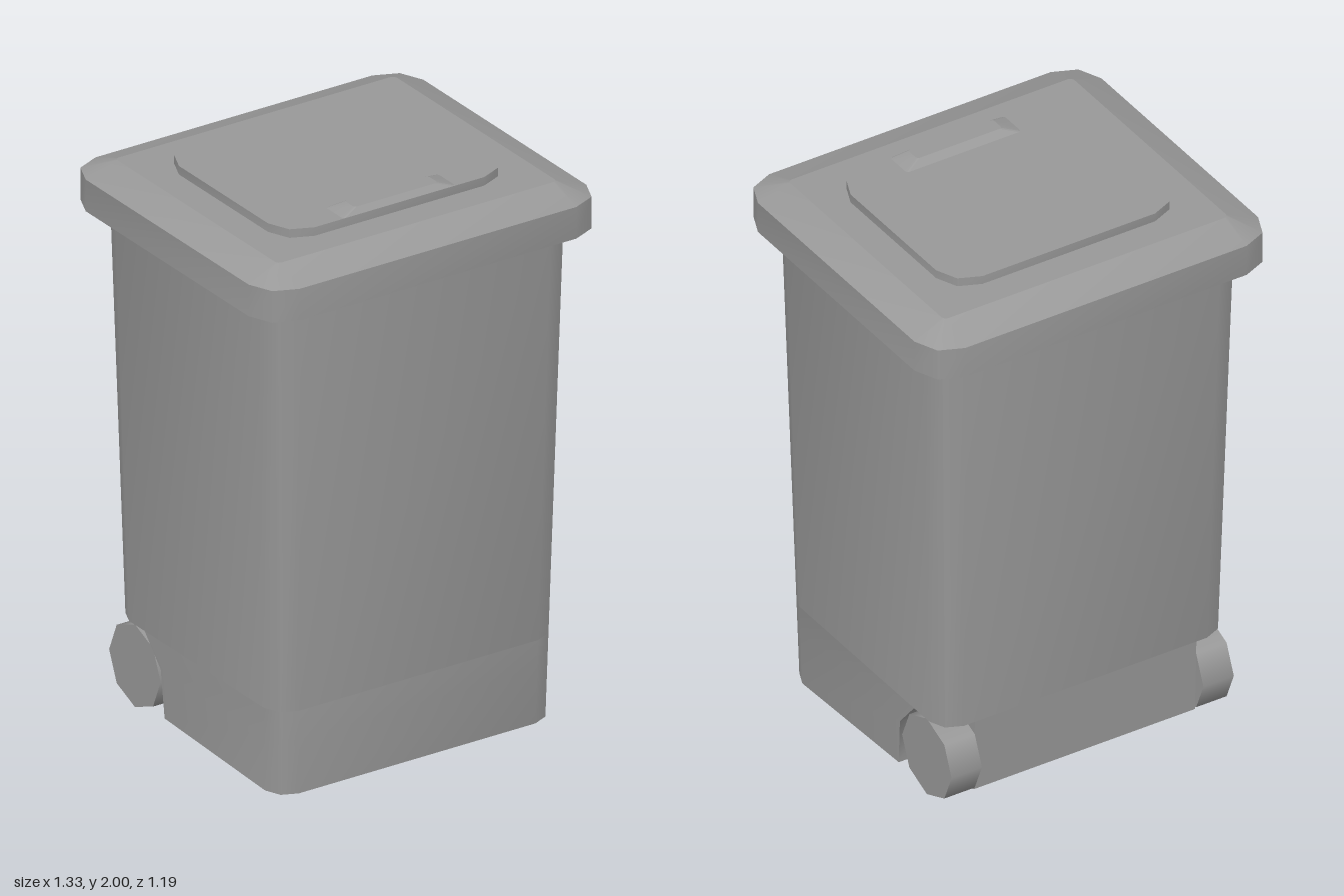
import * as THREE from 'three';
import { toCreasedNormals } from 'three/addons/utils/BufferGeometryUtils.js';

const grey = new THREE.MeshStandardMaterial({ color: 0x999999 });
grey.name = 'grey plastic';

// Rectangle with two-segment corners, as [x, z] points running from +x towards +z
function outline(hx, zBack, zFront, r) {
  const k = 0.3 * r;
  return [
    [hx, zFront - r], [hx - k, zFront - k], [hx - r, zFront],
    [-hx + r, zFront], [-hx + k, zFront - k], [-hx, zFront - r],
    [-hx, zBack + r], [-hx + k, zBack + k], [-hx + r, zBack],
    [hx - r, zBack], [hx - k, zBack + k], [hx, zBack + r],
  ];
}

// Place an outline at a height, which may depend on z
const ring = (points, y) =>
  points.map(([x, z]) => new THREE.Vector3(x, typeof y === 'function' ? y(z) : y, z));

// Closed solid through rings listed from bottom to top
function loft(rings, crease) {
  const pos = [];
  const tri = (...vs) => vs.forEach((v) => pos.push(v.x, v.y, v.z));
  for (let j = 0; j < rings.length - 1; j++) {
    const lo = rings[j], hi = rings[j + 1];
    lo.forEach((a, i) => {
      const n = (i + 1) % lo.length;
      tri(a, hi[i], lo[n]);
      tri(hi[i], hi[n], lo[n]);
    });
  }
  const cap = (pts, up) => {
    const flat = pts.map((p) => new THREE.Vector2(p.x, p.z));
    for (const [i, j, k] of THREE.ShapeUtils.triangulateShape(flat, [])) {
      const [a, b, c] = [pts[i], pts[j], pts[k]];
      const ny = (b.z - a.z) * (c.x - a.x) - (b.x - a.x) * (c.z - a.z);
      if (ny > 0 === up) tri(a, b, c);
      else tri(a, c, b);
    }
  };
  cap(rings[0], false);
  cap(rings[rings.length - 1], true);
  const geo = new THREE.BufferGeometry();
  geo.setAttribute('position', new THREE.Float32BufferAttribute(pos, 3));
  return toCreasedNormals(geo, crease);
}

export function createModel() {
  const model = new THREE.Group();
  model.name = 'wheeledBin';
  const add = (name, geo) => {
    const mesh = new THREE.Mesh(geo, grey);
    mesh.name = name;
    model.add(mesh);
    return mesh;
  };

  // Tapered body outline at a given height
  const bodyAt = (y) => {
    const t = y / 1.79;
    return outline(0.547 + 0.047 * t, -0.465 - 0.052 * t, 0.47 + 0.05 * t, 0.08 + 0.02 * t);
  };
  const wellTop = 0.305, wellX = 0.43;
  add('body', loft([ring(bodyAt(wellTop), wellTop), ring(bodyAt(1.8), 1.8)], 0.75));

  // Lower body, with both back corners cut away for the wheels
  const notched = (y, zWell) => {
    const full = bodyAt(y), hx = full[0][0], zBack = full[8][1];
    return [
      ...full.slice(0, 6),
      [-hx, zWell], [-wellX, zWell], [-wellX, zBack],
      [wellX, zBack], [wellX, zWell], [hx, zWell],
    ];
  };
  const underside = (z) => THREE.MathUtils.clamp((0.4 - z) * 0.045, 0, 0.032);
  add('lowerBody', loft([
    ring(notched(0, -0.195), underside),
    ring(notched(0.2, -0.21), 0.2),
    ring(notched(wellTop, -0.3), wellTop),
  ], 0.75));

  // Lid: upright rim, sloping edge and flat top
  const rim = outline(0.667, -0.598, 0.592, 0.12);
  add('lidRim', loft([ring(rim, 1.79), ring(rim, 1.905)], 0.75));
  add('lidTop', loft([ring(rim, 1.905), ring(outline(0.552, -0.478, 0.472, 0.015), 1.95)], 0.3));

  // Raised panel on the lid
  const panel = outline(0.445, -0.372, 0.367, 0.11);
  add('lidPanel', loft([ring(panel, 1.945), ring(panel, 1.981)], 0.75));

  // Low grip at the front of the panel
  add('lidGrip', loft([
    ring(outline(0.225, 0.262, 0.367, 0.01), 1.98),
    ring(outline(0.165, 0.29, 0.348, 0.01), 2.0),
  ], 0.2));

  // Eight-sided wheels in the back corners
  for (const side of [1, -1]) {
    const geo = new THREE.CylinderGeometry(0.15, 0.15, 0.118, 8).rotateZ(Math.PI / 2);
    const wheel = add(side > 0 ? 'leftWheel' : 'rightWheel', geo);
    wheel.position.set(side * 0.489, 0.15, -0.367);
  }
  return model;
}
